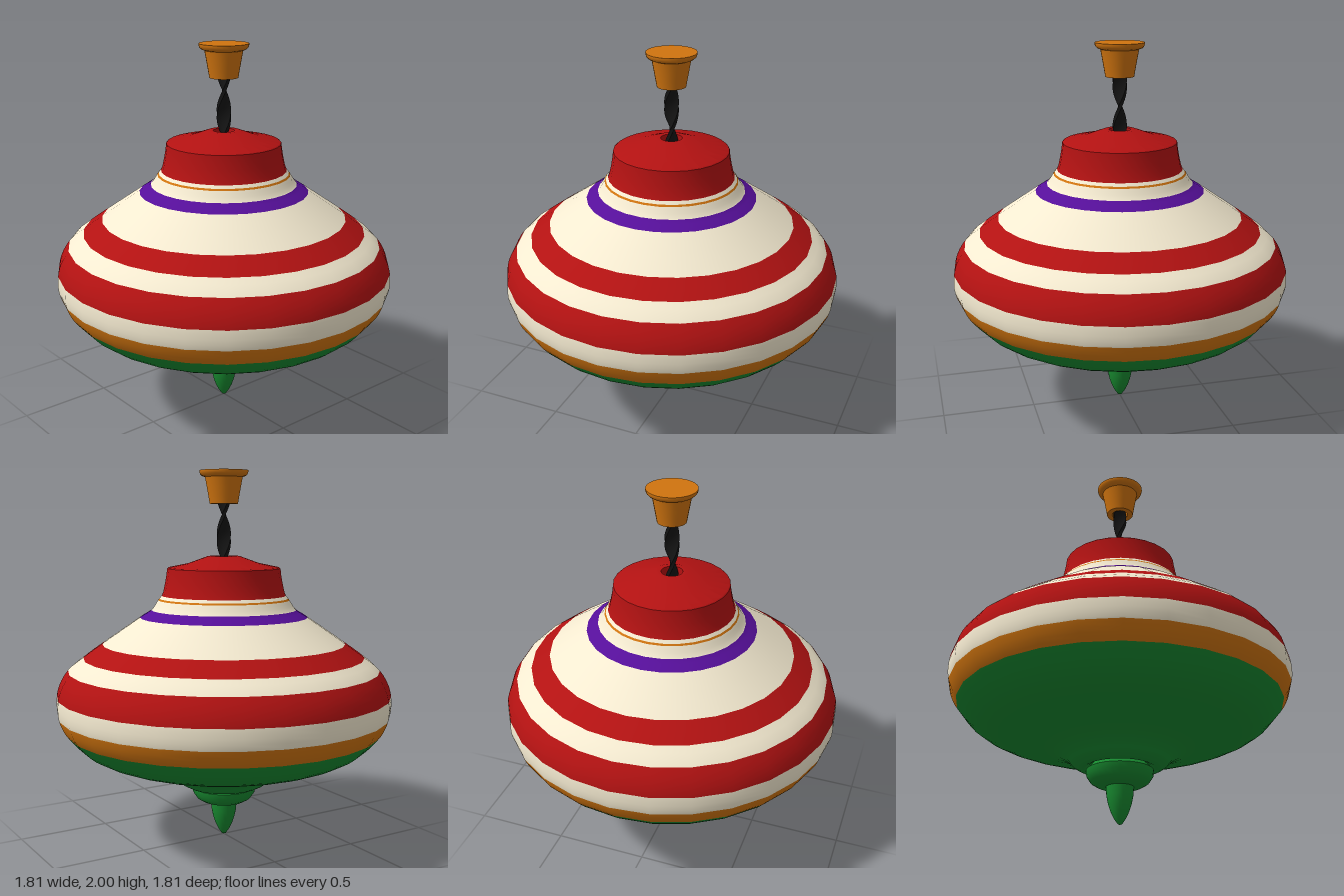
import * as THREE from 'three';
import { toCreasedNormals } from 'three/addons/utils/BufferGeometryUtils.js';

const SIDES = 28;
const RED = 0xb31212, CREAM = 0xf4ead0, ORANGE = 0xd0740f, GREEN = 0x188a30, PURPLE = 0x560f9a, BLACK = 0x141414;

const paint = (color) => new THREE.MeshStandardMaterial({ color });
const toVectors = (list) => list.map(([r, y]) => new THREE.Vector2(r, y));

function addMesh(group, name, geometry, color) {
  const mesh = new THREE.Mesh(geometry, paint(color));
  mesh.name = name;
  group.add(mesh);
}

// Turned part whose sharp profile corners stay crisp
function turned(list, crease = 0.6) {
  return toCreasedNormals(new THREE.LatheGeometry(toVectors(list), SIDES), crease);
}

// Rounded body: one smooth lathe, its rows shared out among the painted bands
function addBody(group) {
  const curve = new THREE.SplineCurve(toVectors([
    [0.21, 0.295], [0.245, 0.315], [0.275, 0.345], [0.335, 0.38], [0.44, 0.415], [0.625, 0.46], [0.76, 0.52],
    [0.85, 0.61], [0.89, 0.68], [0.905, 0.75], [0.893, 0.85], [0.84, 0.945], [0.76, 1.01],
    [0.655, 1.085], [0.455, 1.222], [0.39, 1.264], [0.355, 1.315], [0.335, 1.34],
  ]));
  const bands = [
    ['greenBase', 0.615, GREEN], ['lowerOrangeBand', 0.705, ORANGE], ['lowerCreamBand', 0.81, CREAM],
    ['wideRedBand', 0.945, RED], ['middleCreamBand', 1.012, CREAM], ['narrowRedBand', 1.085, RED],
    ['shoulderCreamBand', 1.224, CREAM], ['purpleBand', 1.264, PURPLE], ['upperCreamBand', 1.316, CREAM],
    ['thinOrangeBand', 1.325, ORANGE], ['neckCreamBand', 2, CREAM],
  ];
  // Sample the curve and add a row exactly at every colour change
  const points = [];
  for (const p of curve.getPoints(54)) {
    const last = points[points.length - 1];
    if (last) {
      for (const [, y] of bands) {
        if (y > last.y + 1e-4 && y < p.y - 1e-4) {
          points.push(last.clone().lerp(p, (y - last.y) / (p.y - last.y)));
        }
      }
    }
    points.push(p);
  }
  const whole = new THREE.LatheGeometry(points, SIDES);
  const position = whole.attributes.position;
  const index = whole.index.array;
  let from = -1;
  for (const [name, to, color] of bands) {
    const faces = [];
    for (let i = 0; i < index.length; i += 3) {
      const tri = [index[i], index[i + 1], index[i + 2]];
      const ys = tri.map((v) => position.getY(v));
      const middle = (Math.min(...ys) + Math.max(...ys)) / 2;
      if (middle >= from && middle < to) faces.push(...tri);
    }
    const band = whole.clone();
    band.setIndex(faces);
    addMesh(group, name, band, color);
    from = to;
  }
}

// Flat bar twisted half a turn every 0.245 units
function twistedRod() {
  const bottom = 1.38, top = 1.9;
  const rod = new THREE.BoxGeometry(0.072, top - bottom, 0.02, 2, 52, 1);
  rod.translate(0, (top + bottom) / 2, 0);
  const p = rod.attributes.position;
  for (let i = 0; i < p.count; i++) {
    const x = p.getX(i), y = p.getY(i), z = p.getZ(i);
    const a = Math.PI / 2 - (y - 1.69) * Math.PI / 0.245;
    p.setXYZ(i, x * Math.cos(a) - z * Math.sin(a), y, x * Math.sin(a) + z * Math.cos(a));
  }
  rod.computeVertexNormals();
  return rod;
}

export function createModel() {
  const top = new THREE.Group();
  top.name = 'spinningTop';

  addBody(top);

  // Underside rim and recess around the hub
  addMesh(top, 'baseRim', turned([[0, 0.33], [0.13, 0.33], [0.16, 0.3], [0.185, 0.289], [0.21, 0.295]], 0.8), GREEN);

  // Rounded hub and pointed spinning tip
  addMesh(top, 'hub', turned([
    [0, 0.195], [0.08, 0.195], [0.12, 0.203], [0.15, 0.221], [0.17, 0.25], [0.175, 0.28], [0.165, 0.288], [0.12, 0.335],
  ], 0.8), GREEN);
  addMesh(top, 'tip', new THREE.LatheGeometry(toVectors([
    [0, 0.003], [0.012, 0.008], [0.03, 0.035], [0.047, 0.07], [0.06, 0.11], [0.068, 0.15], [0.072, 0.2],
  ]), SIDES), GREEN);

  // Red cap with a hole for the rod
  addMesh(top, 'cap', turned([
    [0.3, 1.335], [0.336, 1.335], [0.326, 1.36], [0.315, 1.41], [0.308, 1.45], [0.304, 1.485], [0.298, 1.49],
    [0.19, 1.512], [0.085, 1.55], [0.056, 1.55], [0.054, 1.4], [0, 1.4],
  ], 0.5), RED);

  addMesh(top, 'rod', twistedRod(), BLACK);

  // Flared handle, hollow at the bottom
  addMesh(top, 'handle', turned([
    [0, 1.88], [0.045, 1.88], [0.045, 1.825], [0.075, 1.825], [0.081, 1.86], [0.09, 1.91], [0.1, 1.965],
    [0.117, 1.971], [0.126, 1.98], [0.13, 1.992], [0.13, 2], [0, 2],
  ], 0.7), ORANGE);

  return top;
}
